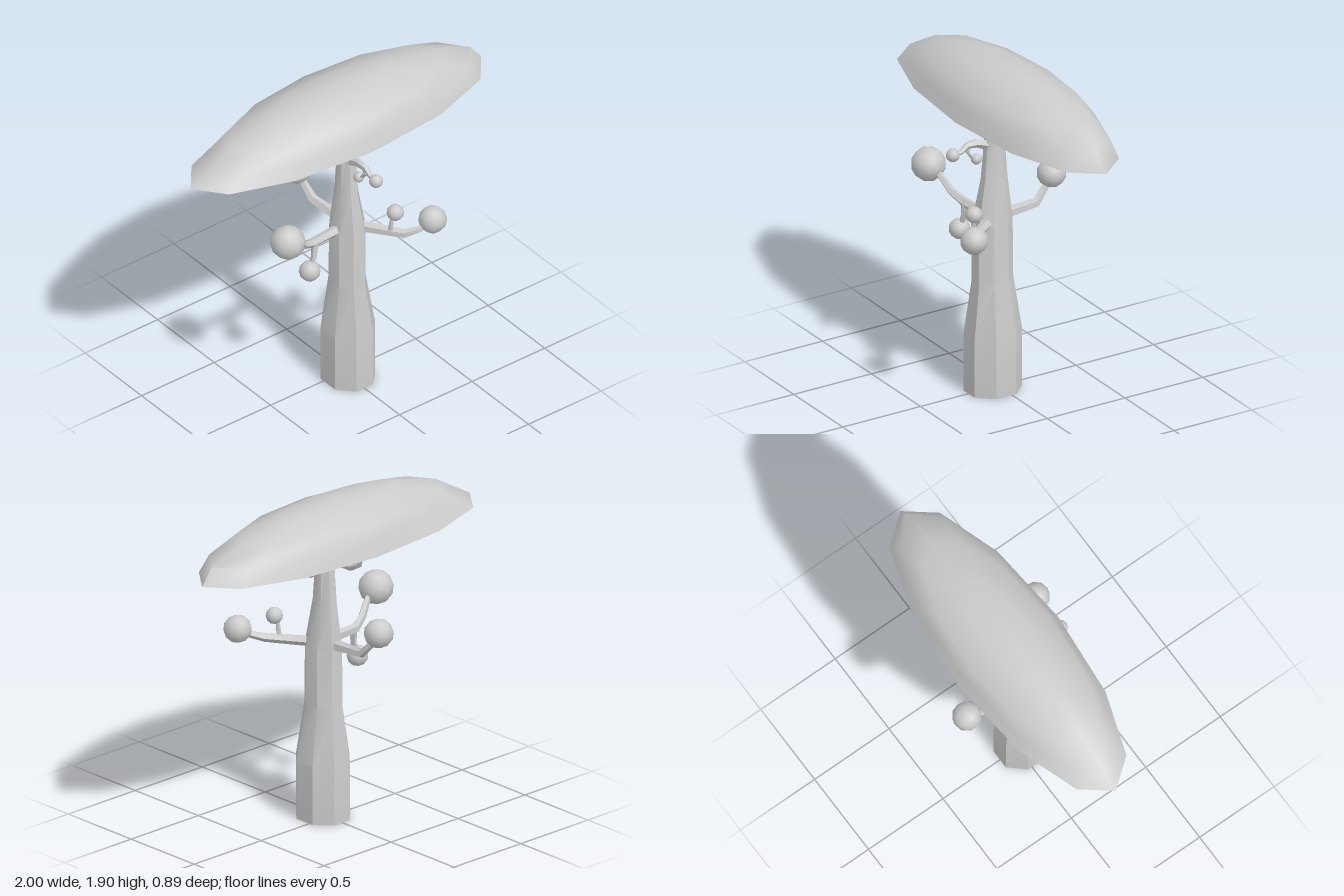
import * as THREE from 'three';
import { toCreasedNormals } from 'three/addons/utils/BufferGeometryUtils.js';

const material = new THREE.MeshStandardMaterial({ color: 0xcccccc });
const v = (x, y, z) => new THREE.Vector3(x, y, z);

// Skin a list of equal-length rings, ordered from bottom to top
function loft(rings, crease) {
  const n = rings[0].length, pos = [];
  const tri = (a, b, c) => {
    if (a.distanceTo(b) < 1e-6 || b.distanceTo(c) < 1e-6 || a.distanceTo(c) < 1e-6) return;
    for (const p of [a, b, c]) pos.push(p.x, p.y, p.z);
  };
  for (let i = 0; i < rings.length - 1; i++) {
    for (let j = 0; j < n; j++) {
      const k = (j + 1) % n, lo = rings[i], hi = rings[i + 1];
      tri(lo[j], hi[j], lo[k]);
      tri(lo[k], hi[j], hi[k]);
    }
  }
  const g = new THREE.BufferGeometry();
  g.setAttribute('position', new THREE.Float32BufferAttribute(pos, 3));
  return toCreasedNormals(g, crease);
}

// Horizontal oval ring spanning x0..x1 and z0..z1; y may tilt from y0 (left edge) to y1
function oval(n, x0, x1, z0, z1, y0, y1 = y0, turn = 0) {
  const grow = turn ? 1 / Math.cos(Math.PI / n) : 1;
  return Array.from({ length: n }, (_, j) => {
    const a = (j / n) * Math.PI * 2 + turn;
    const c = Math.cos(a) * grow, s = Math.sin(a) * grow;
    return v((x0 + x1 + (x1 - x0) * c) / 2, y0 + (y1 - y0) * (c + 1) / 2, (z0 + z1 + (z1 - z0) * s) / 2);
  });
}

// Tapered five-sided limb along a polyline
function limb(points, r0, r1) {
  const pts = points.map(p => v(...p)), last = pts.length - 1;
  const q = new THREE.Quaternion();
  let before = v(0, 0, 1);
  const rings = pts.map((p, i) => {
    const t = pts[Math.min(i + 1, last)].clone().sub(pts[Math.max(i - 1, 0)]).normalize();
    q.premultiply(new THREE.Quaternion().setFromUnitVectors(before, t));
    before = t;
    const r = r0 + (r1 - r0) * i / last;
    return Array.from({ length: 5 }, (_, j) => {
      const a = (j / 5) * Math.PI * 2;
      return v(Math.cos(a) * r, -Math.sin(a) * r, 0).applyQuaternion(q).add(p);
    });
  });
  rings.push(rings[last].map(() => pts[last]));
  return loft(rings, 0.8);
}

export function createModel() {
  const model = new THREE.Group();
  const add = (name, geometry, parent = model) => {
    const mesh = new THREE.Mesh(geometry, material);
    mesh.name = name;
    parent.add(mesh);
    return mesh;
  };

  // Trunk: x0, x1, z0, z1, y
  const trunk = [
    [0, 0, 0.04, 0.04, 0],
    [-0.135, 0.142, -0.116, 0.19, 0],
    [-0.135, 0.142, -0.116, 0.19, 0.34],
    [-0.093, 0.092, -0.073, 0.146, 0.66],
    [-0.093, 0.09, -0.07, 0.146, 1.0],
    [-0.055, 0.055, -0.045, 0.098, 1.26],
    [-0.042, 0.045, -0.02, 0.07, 1.61],
    [0, 0, 0.025, 0.025, 1.61],
  ].map(([x0, x1, z0, z1, y]) => oval(8, x0, x1, z0, z1, y, y, Math.PI / 8));
  add('trunk', loft(trunk, 0.7));

  // Canopy: half depth, left x, right x, left y, right y
  const canopy = [
    [0, 0, 0, 1.583, 1.583],
    [0.337, -1, 1, 1.645, 1.645],
    [0.305, -0.9, 0.925, 1.705, 1.74],
    [0.265, -0.74, 0.705, 1.8, 1.82],
    [0.13, -0.45, 0.39, 1.872, 1.88],
    [0, 0, 0, 1.9, 1.9],
  ].map(([d, x0, x1, y0, y1]) => oval(12, x0, x1, -0.063 - d, -0.063 + d, y0, y1));
  add('canopy', loft(canopy, 1.05));

  // Branches: path, start and end radius, and radius of the leaf ball at the tip
  const branches = [
    ['lowerRightBranch', [[0, 1.02, 0.04], [-0.26, 1.02, 0.06], [-0.34, 1.06, 0.09], [-0.41, 1.14, 0.12], [-0.49, 1.175, 0.14]], 0.032, 0.014, 0.098],
    ['hangingTwig', [[-0.24, 1.03, 0.06], [-0.25, 0.93, 0.065], [-0.285, 0.85, 0.07]], 0.024, 0.012, 0.06],
    ['lowerLeftBranch', [[0.02, 1.02, 0.06], [0.19, 1.02, 0.3], [0.26, 1.045, 0.345], [0.333, 1.09, 0.365]], 0.032, 0.013, 0.079],
    ['standingTwig', [[0.14, 1.02, 0.24], [0.14, 1.1, 0.25], [0.16, 1.152, 0.257]], 0.016, 0.008, 0.048],
    ['lowerBackBranch', [[0, 1.02, 0], [-0.015, 1.03, -0.25], [-0.025, 1.1, -0.315], [-0.035, 1.175, -0.365]], 0.034, 0.014, 0.083],
    ['upperRightBranch', [[0, 1.545, 0.02], [-0.22, 1.51, 0], [-0.31, 1.55, 0]], 0.025, 0.01, 0.036],
    ['upperLeftBranch', [[0, 1.51, 0.02], [0.15, 1.57, 0.005], [0.22, 1.575, 0], [0.28, 1.55, 0], [0.35, 1.55, 0]], 0.027, 0.01, 0.048],
    ['upperFrontBranch', [[0, 1.45, 0.03], [0, 1.49, 0.14], [0, 1.49, 0.2], [0, 1.46, 0.24], [0, 1.455, 0.292]], 0.03, 0.009, 0.039],
    ['curlingTwig', [[0, 1.5, 0.18], [0, 1.45, 0.2], [0, 1.42, 0.175], [0, 1.395, 0.14]], 0.014, 0.008, 0.031],
    ['upperBackBranch', [[0.01, 1.53, 0.02], [0.05, 1.55, -0.24], [0.06, 1.585, -0.31], [0.06, 1.65, -0.335]], 0.028, 0.008, 0],
  ];
  for (const [name, path, r0, r1, ball] of branches) {
    const group = new THREE.Group();
    group.name = name;
    add(name + 'Limb', limb(path, r0, r1), group);
    if (ball) {
      const leaf = add(name + 'LeafBall', new THREE.IcosahedronGeometry(ball, 1), group);
      leaf.position.set(...path[path.length - 1]);
      // The upper left ball is slightly flattened
      if (name === 'upperLeftBranch') leaf.scale.set(1.1, 0.87, 1.1);
    }
    model.add(group);
  }
  return model;
}
